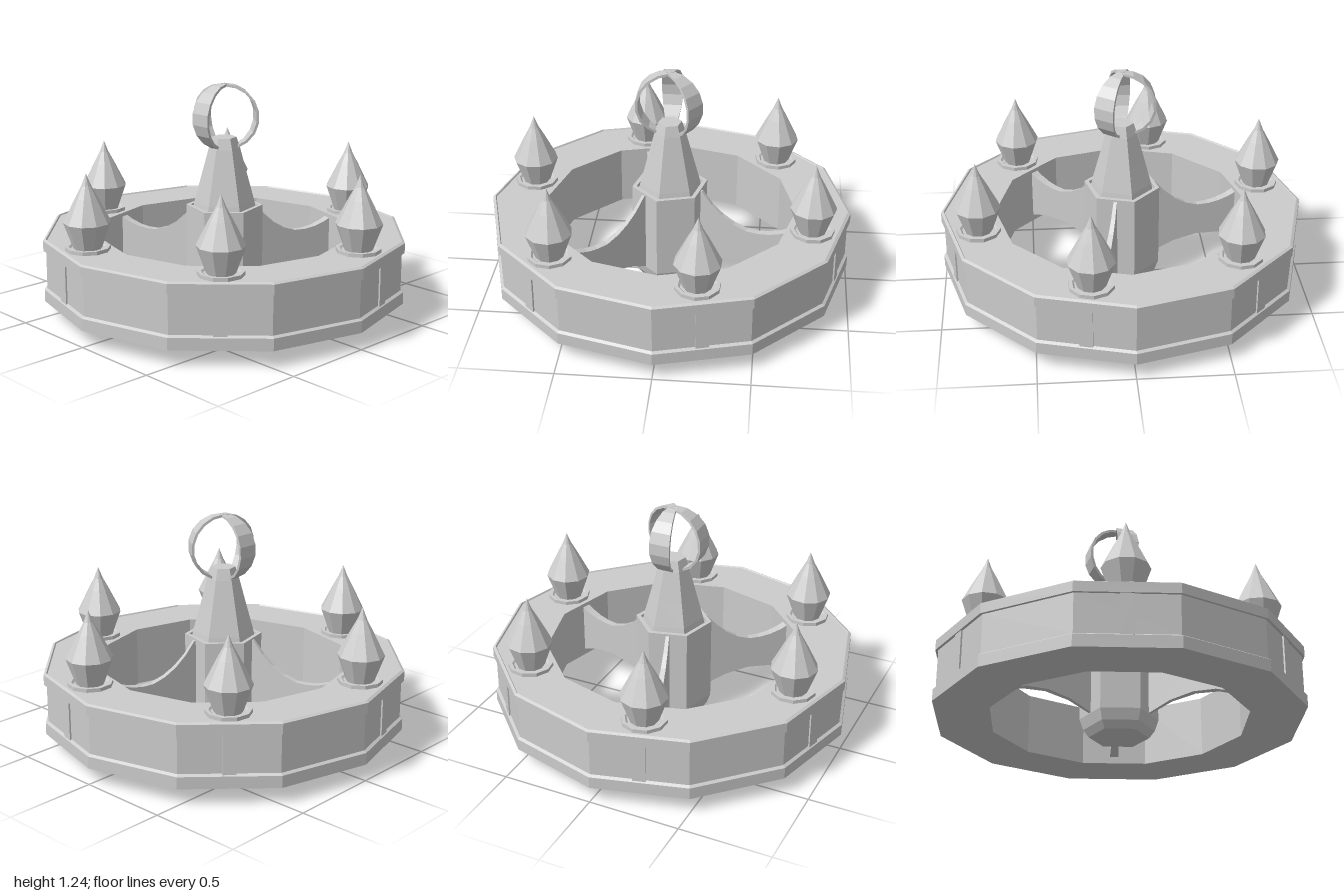
import * as THREE from 'three';

const mat = new THREE.MeshStandardMaterial({ color: 0xcccccc, flatShading: true, side: THREE.DoubleSide });

// Adds a named mesh to a parent
function add(parent, name, geometry) {
  const mesh = new THREE.Mesh(geometry, mat);
  mesh.name = name;
  parent.add(mesh);
  return mesh;
}

// Faceted turned shape from [radius, height] pairs
function turned(profile, sides, start = 0) {
  return new THREE.LatheGeometry(profile.map(([r, y]) => new THREE.Vector2(r, y)), sides, start);
}

// Group whose +x axis points outward at an angle (degrees, from +x toward +z)
function spoke(parent, name, degrees) {
  const g = new THREE.Group();
  g.name = name;
  g.rotation.y = -THREE.MathUtils.degToRad(degrees);
  parent.add(g);
  return g;
}

// Web plate with a sagging top edge, thicker toward the rim
function armGeometry() {
  const shape = new THREE.Shape();
  shape.moveTo(0.17, 0.1);
  shape.quadraticCurveTo(0.45, 0.24, 0.7, 0.12);
  shape.lineTo(0.7, 0.42);
  shape.quadraticCurveTo(0.58, 0.35, 0.45, 0.365);
  shape.quadraticCurveTo(0.3, 0.4, 0.19, 0.56);
  shape.lineTo(0.17, 0.56);
  const geo = new THREE.ExtrudeGeometry(shape, { depth: 1, bevelEnabled: false, curveSegments: 4 });
  const p = geo.attributes.position;
  for (let i = 0; i < p.count; i++) {
    const thickness = 0.018 + 0.06 * (p.getX(i) - 0.17);
    p.setZ(i, (p.getZ(i) - 0.5) * thickness);
  }
  geo.computeVertexNormals();
  return geo;
}

// Curved strap bent from a box, widest at its middle
function hookGeometry() {
  const geo = new THREE.BoxGeometry(1, 1, 1, 1, 8, 1);
  const p = geo.attributes.position;
  for (let i = 0; i < p.count; i++) {
    const t = 0.5 - p.getY(i);
    const a = t * Math.PI * 0.88;
    const r = 0.176 + p.getX(i) * 0.014;
    const width = 0.04 + 0.015 * t + 0.07 * Math.sin(Math.PI * t);
    p.setXYZ(i, r * Math.sin(a), 1.06 + r * Math.cos(a), p.getZ(i) * width);
  }
  geo.computeVertexNormals();
  return geo;
}

export function createModel() {
  const model = new THREE.Group();
  model.name = 'chandelier';

  // Twelve-sided hoop with raised trim along both edges
  add(model, 'hoop', turned([
    [0.7, 0.09], [1, 0.09], [1, 0.155], [0.985, 0.165], [0.985, 0.375], [1, 0.375],
    [1, 0.43], [0.985, 0.438], [0.98, 0.43], [0.7, 0.43], [0.7, 0.09],
  ], 12));

  // Six-sided column with a rounded foot and a collar
  add(model, 'column', turned([
    [0, 0], [0.16, 0], [0.19, 0.04], [0.21, 0.1], [0.21, 0.57], [0.185, 0.57], [0.185, 0.55], [0, 0.55],
  ], 6, Math.PI / 12));

  // Tapering cap above the collar
  add(model, 'cap', turned([
    [0.175, 0.54], [0.165, 0.59], [0.13, 0.72], [0.085, 0.89], [0.065, 0.95], [0, 0.95],
  ], 6, Math.PI / 12));

  // Candle holders, each with a strap on the hoop below it
  const plateGeo = turned([[0, 0.425], [0.12, 0.425], [0.12, 0.45], [0.1, 0.45], [0.09, 0.44], [0, 0.44]], 10);
  const flameGeo = turned([[0, 0.44], [0.075, 0.44], [0.125, 0.58], [0.06, 0.71], [0.025, 0.775], [0, 0.84]], 10);
  for (let i = 0; i < 6; i++) {
    const holder = spoke(model, 'candleHolder', 45 + i * 60);
    add(holder, 'dripPlate', plateGeo).position.x = 0.815;
    add(holder, 'flame', flameGeo).position.x = 0.815;
    add(holder, 'strap', new THREE.BoxGeometry(0.03, 0.22, 0.07)).position.set(0.945, 0.27, 0);
  }

  // Three arms joining column and hoop
  const armGeo = armGeometry();
  for (const angle of [45, 165, 285]) add(spoke(model, 'armSpoke', angle), 'arm', armGeo);

  // Hanging loop made of three bent straps
  const hookGeo = hookGeometry();
  for (const angle of [90, 180, 306]) add(spoke(model, 'hangingLoop', angle), 'loopStrap', hookGeo);

  return model;
}
